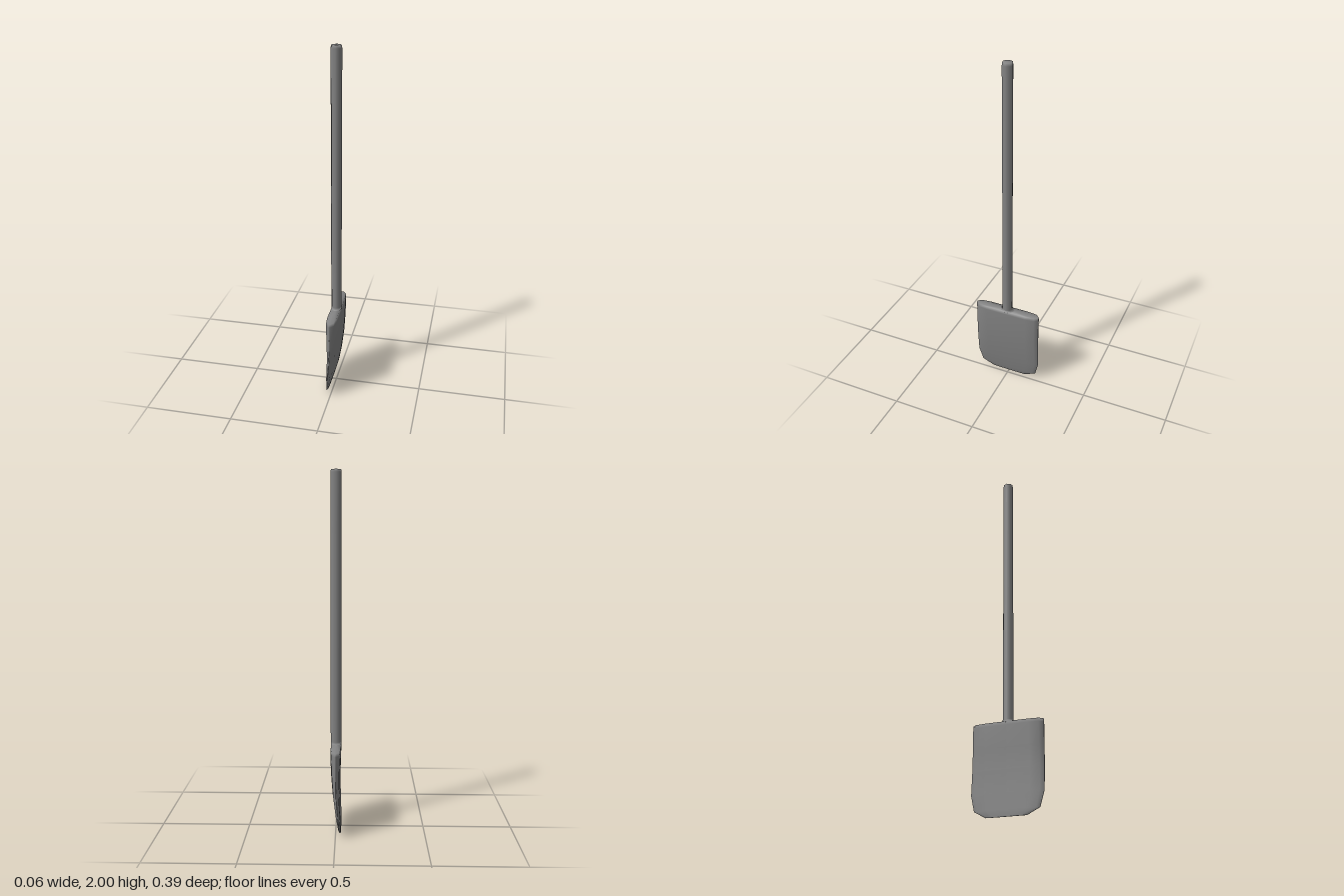
import * as THREE from 'three';

const material = new THREE.MeshStandardMaterial({ color: 0x848484 });

function addPart(group, name, geometry) {
  const mesh = new THREE.Mesh(geometry, material);
  mesh.name = name;
  group.add(mesh);
}

// Blade cross-sections from tip to shoulder: height, half width, back x, front x
const bladeRows = [
  [0, 0.11, -0.03, -0.024],
  [0.035, 0.176, -0.029, -0.015],
  [0.12, 0.197, -0.026, 0],
  [0.24, 0.197, -0.023, 0.016],
  [0.36, 0.197, -0.025, 0.025],
  [0.475, 0.197, -0.03, 0.029],
  [0.494, 0.196, -0.027, 0.027],
];

// Fractions across one face of the blade: width, thickness
const faceProfile = [[-1, 0.15], [-0.89, 0.78], [-0.62, 1], [0, 1], [0.62, 1], [0.89, 0.78], [1, 0.15]];

function bladeGeometry() {
  const positions = [];
  const index = [];
  const n = faceProfile.length * 2;

  for (const [y, w, back, front] of bladeRows) {
    const mid = (back + front) / 2;
    const half = (front - back) / 2;
    for (const side of [1, -1]) {
      for (const [f, t] of faceProfile) positions.push(mid + side * half * t, y, side * f * w);
    }
  }

  // Skin between neighbouring sections
  for (let i = 0; i < bladeRows.length - 1; i++) {
    for (let j = 0; j < n; j++) {
      const a = i * n + j;
      const b = i * n + ((j + 1) % n);
      index.push(a, a + n, b, b, a + n, b + n);
    }
  }

  // Close the cutting edge and the shoulder
  for (const row of [0, bladeRows.length - 1]) {
    const [y, , back, front] = bladeRows[row];
    const centre = positions.length / 3;
    positions.push((back + front) / 2, y, 0);
    for (let j = 0; j < n; j++) {
      const a = row * n + j;
      const b = row * n + ((j + 1) % n);
      if (row === 0) index.push(centre, a, b);
      else index.push(centre, b, a);
    }
  }

  const geometry = new THREE.BufferGeometry();
  geometry.setAttribute('position', new THREE.Float32BufferAttribute(positions, 3));
  geometry.setIndex(index);
  geometry.computeVertexNormals();
  return geometry;
}

// Eight-sided shaft with a softened end, its foot flaring along the shoulder
function shaftGeometry() {
  const radius = 0.03;
  const profile = [[0.052, 0.49], [0.04, 0.496], [radius, 0.506], [radius, 1.985], [0.027, 2], [0, 2]];
  const geometry = new THREE.LatheGeometry(profile.map(([r, y]) => new THREE.Vector2(r, y)), 8);
  const p = geometry.attributes.position;
  // Keep the flare no thicker than the blade
  for (let i = 0; i < p.count; i++) {
    const r = Math.hypot(p.getX(i), p.getZ(i));
    if (r > radius) p.setX(i, p.getX(i) * radius / r);
  }
  return geometry;
}

export function createModel() {
  const group = new THREE.Group();
  group.name = 'shovel';
  addPart(group, 'blade', bladeGeometry());
  addPart(group, 'shaft', shaftGeometry());
  return group;
}
